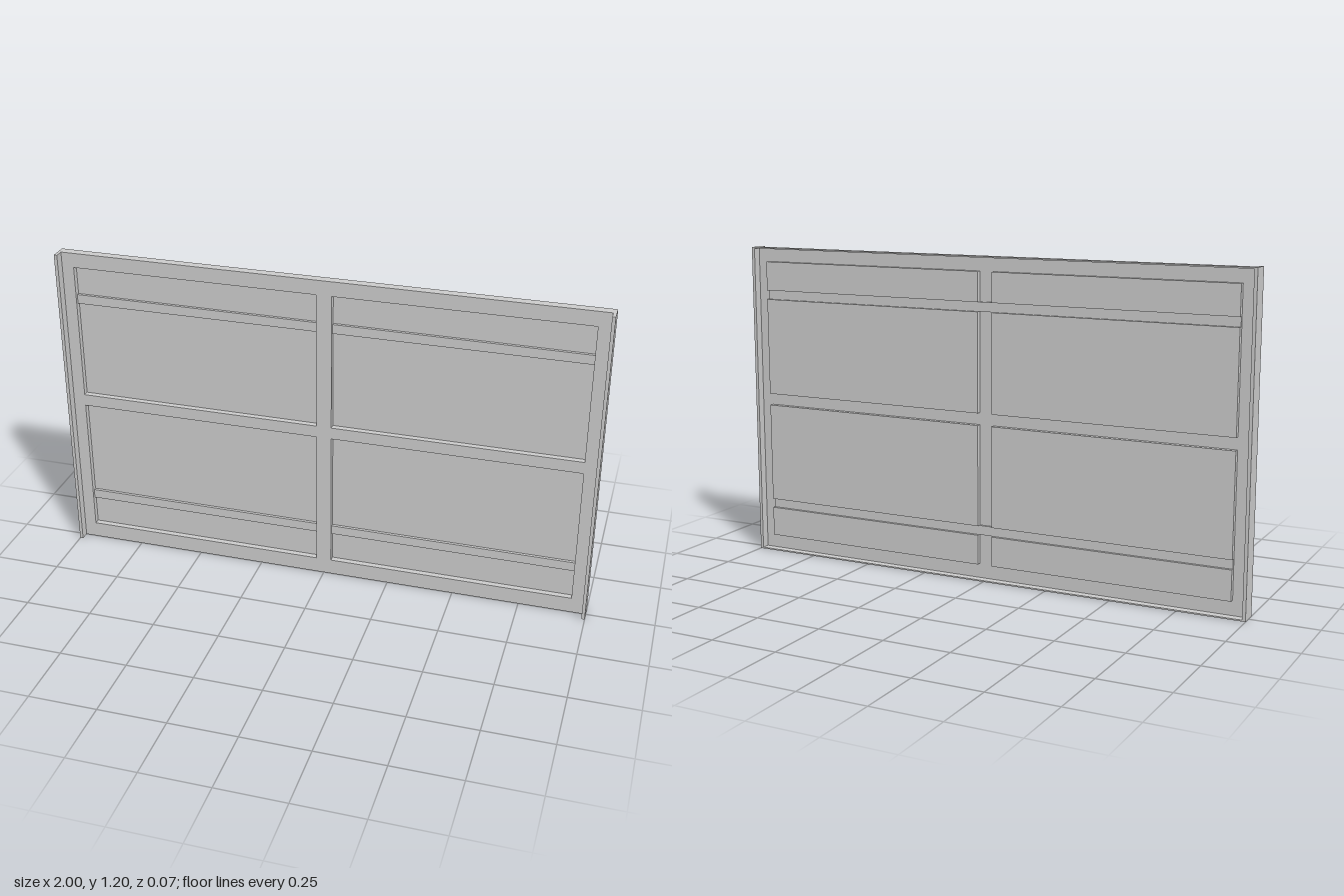
import * as THREE from 'three';

const W = 2, H = 1.2;          // overall sheet size
const BACK = -0.034, FRONT = 0.034;
const LIP = 0.012;             // thickness of the folded edges
const PAN = -0.022, BAND = -0.011; // depth of the pressed panels and their ribs
const X0 = 0.028, X1 = 0.943;  // inner and outer edge of each panel

// Each row of panels with the rib pressed across it
const ROWS = [
  { y0: 0.06, y1: 0.585, b0: 0.172, b1: 0.207 },
  { y0: 0.63, y1: 1.145, b0: 1.0, b1: 1.035 },
];

export function createModel() {
  const group = new THREE.Group();
  const mat = new THREE.MeshStandardMaterial({ color: 0xcccccc, flatShading: true, side: THREE.DoubleSide });

  const add = (geo, name) => {
    const mesh = new THREE.Mesh(geo, mat);
    mesh.name = name;
    group.add(mesh);
    return mesh;
  };
  const box = (name, x0, x1, y0, y1, z0, z1) => {
    const geo = new THREE.BoxGeometry(x1 - x0, y1 - y0, z1 - z0);
    geo.translate((x0 + x1) / 2, (y0 + y1) / 2, (z0 + z1) / 2);
    return add(geo, name);
  };

  // Face sheet with four openings
  const sheet = new THREE.Shape();
  sheet.moveTo(-W / 2, 0).lineTo(W / 2, 0).lineTo(W / 2, H).lineTo(-W / 2, H).closePath();
  for (const s of [-1, 1]) {
    for (const { y0, y1 } of ROWS) {
      const hole = new THREE.Path();
      hole.moveTo(s * X0, y0).lineTo(s * X0, y1).lineTo(s * X1, y1).lineTo(s * X1, y0).closePath();
      sheet.holes.push(hole);
    }
  }
  const face = new THREE.ExtrudeGeometry(sheet, { depth: 0.003, bevelEnabled: false });
  face.translate(0, 0, -0.003);
  add(face, 'faceFrame');

  // Edges folded to the back at top and bottom, both ways at the sides
  box('bottomLip', -W / 2 + LIP, W / 2 - LIP, 0, 0.005, BACK, -0.003);
  box('topLip', -W / 2 + LIP, W / 2 - LIP, H - 0.005, H, BACK, -0.003);
  box('rightFlange', -W / 2, -W / 2 + LIP, 0, H, BACK, FRONT);
  box('leftFlange', W / 2 - LIP, W / 2, 0, H, BACK, FRONT);

  // Pressed panels: a stepped section drawn across the width, closed by side walls
  for (const { y0, y1, b0, b1 } of ROWS) {
    const section = [
      [y0, 0], [y0, PAN], [b0, PAN], [b0, BAND],
      [b1, BAND], [b1, PAN], [y1, PAN], [y1, 0],
    ];
    const wall = new THREE.Shape(section.map(([y, z]) => new THREE.Vector2(-z, y)));
    for (const s of [-1, 1]) {
      const skin = new THREE.PlaneGeometry(1, 1, 1, section.length - 1);
      const p = skin.attributes.position;
      for (let i = 0; i < p.count; i++) {
        const [y, z] = section[Math.floor(i / 2)];
        p.setXYZ(i, s * (i % 2 ? X1 : X0), y, z);
      }
      skin.computeVertexNormals();
      add(skin, 'pressedPanel');
      for (const x of [X0, X1]) {
        const side = new THREE.ShapeGeometry(wall);
        side.rotateY(Math.PI / 2);
        side.translate(s * x, 0, 0);
        add(side, 'panelSideWall');
      }
    }
    // Rib carried on behind the centre post
    box('ribBridge', -X0, X0, b0, b1, BAND, -0.003);
  }
  return group;
}
